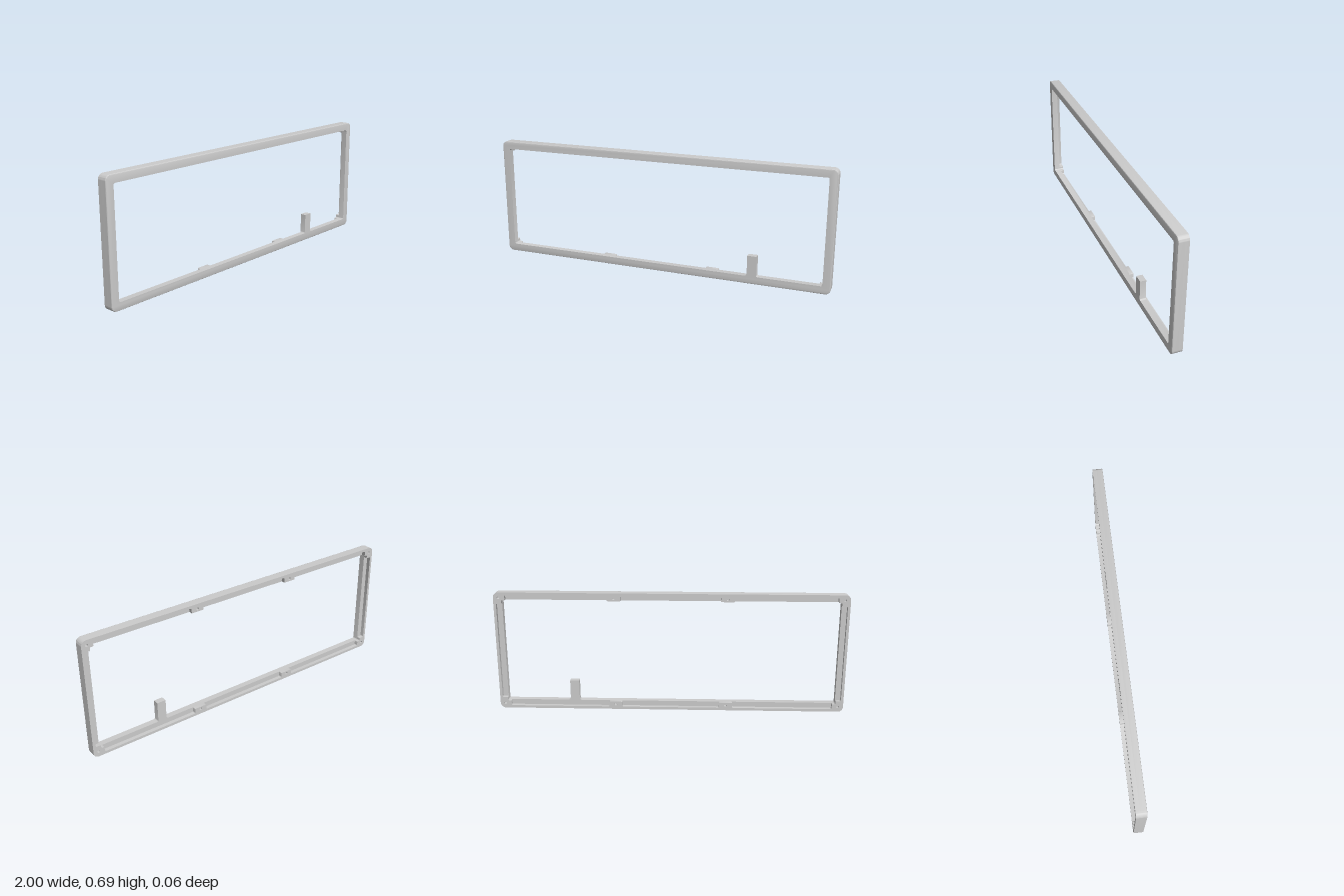
import * as THREE from 'three';
import { toCreasedNormals } from 'three/addons/utils/BufferGeometryUtils.js';

const W = 1, H = 0.3475;            // half width and half height
const R = 0.03;                     // outer corner radius
const RAIL = 0.045, WALL = 0.015;   // rail width, rear wall thickness
const BACK = -0.029, LEDGE = -0.006, EDGE = 0.024, FRONT = 0.029;
const LUG_X = 0.32, LUG_HALF = 0.038, SCREW_INSET = 0.03;

// Closed path through [x, y, radius] points with rounded corners
function roundedPath(pts, path = new THREE.Path()) {
  pts.forEach(([x, y, r = 0], i) => {
    const p = new THREE.Vector2(x, y);
    const toward = ([qx, qy]) =>
      new THREE.Vector2(qx, qy).sub(p).normalize().multiplyScalar(r).add(p);
    const a = toward(pts[(i + pts.length - 1) % pts.length]);
    const b = toward(pts[(i + 1) % pts.length]);
    if (i) path.lineTo(a.x, a.y);
    else path.moveTo(a.x, a.y);
    if (r) path.quadraticCurveTo(x, y, b.x, b.y);
  });
  path.closePath();
  return path;
}

function outerShape() {
  const s = new THREE.Shape(), x = W - R, y = H - R;
  s.absarc(x, y, R, 0, Math.PI / 2);
  s.absarc(-x, y, R, Math.PI / 2, Math.PI);
  s.absarc(-x, -y, R, Math.PI, Math.PI * 1.5);
  s.absarc(x, -y, R, Math.PI * 1.5, Math.PI * 2);
  s.closePath();
  return s;
}

// Window opening, with the upright tab standing on the lower rail
function windowPath() {
  const x = W - RAIL, y = H - RAIL, r = 0.01;
  const t0 = 0.535, t1 = 0.588, top = 0.165 - H;
  return roundedPath([
    [-x, -y, r], [t0, -y, 0.012], [t0, top], [t1, top], [t1, -y, 0.012],
    [x, -y, r], [x, y, r], [-x, y, r],
  ]);
}

// Rear cavity, notched by the screw lugs; one quadrant mirrored to four
function cavityPath() {
  const a = W - WALL, b = H - WALL, x = W - RAIL, y = H - RAIL, r = 0.008;
  const quad = [
    [LUG_X - LUG_HALF, b, r], [LUG_X - LUG_HALF, y, 0.003],
    [LUG_X + LUG_HALF, y, 0.003], [LUG_X + LUG_HALF, b, r],
    [x - 0.02, b, r], [x - 0.02, y, 0.003], [x, y, r],
    [x, y - 0.02, 0.003], [a, y - 0.02, r],
  ];
  const mirror = (sx, sy) => quad.map(([px, py, pr]) => [px * sx, py * sy, pr]);
  return roundedPath([
    ...quad, ...mirror(1, -1).reverse(), ...mirror(-1, -1), ...mirror(-1, 1).reverse(),
  ]);
}

function extrude(shape, z0, z1, steps = 1) {
  const g = new THREE.ExtrudeGeometry(shape, {
    depth: z1 - z0, steps, bevelEnabled: false, curveSegments: 8,
  });
  return g.translate(0, H, z0);
}

// Rounds the outer front edge by pulling the outline inward
function roundFrontEdge(g) {
  const p = g.attributes.position, d = FRONT - EDGE;
  for (let i = 0; i < p.count; i++) {
    const x = p.getX(i), y = p.getY(i) - H;
    const cx = THREE.MathUtils.clamp(x, R - W, W - R);
    const cy = THREE.MathUtils.clamp(y, R - H, H - R);
    if (Math.abs(Math.hypot(x - cx, y - cy) - R) > 1e-4) continue;
    const t = Math.min(1, Math.max(0, (p.getZ(i) - EDGE) / d));
    const k = (R - d * (1 - Math.sqrt(1 - t * t))) / R;
    p.setXY(i, cx + (x - cx) * k, cy + (y - cy) * k + H);
  }
  return g;
}

export function createModel() {
  const model = new THREE.Group();
  model.name = 'bezelFrame';
  const material = new THREE.MeshStandardMaterial({ color: 0xcccccc });
  const add = (name, geometry) => {
    const mesh = new THREE.Mesh(toCreasedNormals(geometry, 0.5), material);
    mesh.name = name;
    model.add(mesh);
  };

  // Front plate and tab
  const face = outerShape();
  face.holes.push(windowPath());
  add('frontPlate', extrude(face, LEDGE, EDGE));
  add('frontRoundedEdge', roundFrontEdge(extrude(face, EDGE, FRONT, 4)));

  // Rear wall with lugs and blind screw holes
  const rear = outerShape();
  rear.holes.push(cavityPath());
  for (const x of [SCREW_INSET - W, -LUG_X, LUG_X, W - SCREW_INSET]) {
    for (const s of [-1, 1]) {
      const hole = new THREE.Path();
      hole.absarc(x, s * (H - SCREW_INSET), 0.008, 0, Math.PI * 2, true);
      rear.holes.push(hole);
    }
  }
  add('rearWallAndLugs', extrude(rear, BACK, LEDGE));
  return model;
}
